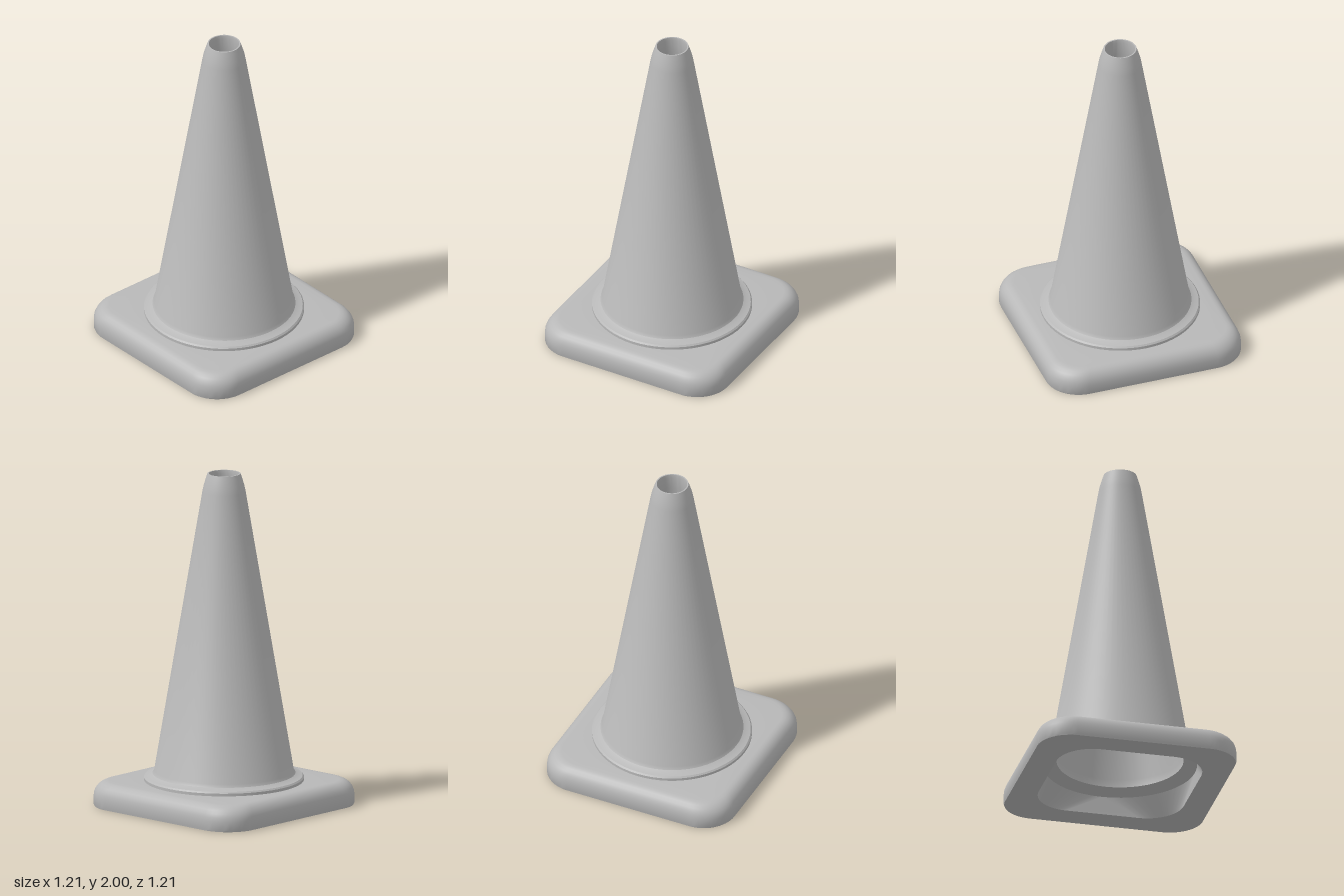
import * as THREE from 'three';
import { toCreasedNormals } from 'three/addons/utils/BufferGeometryUtils.js';

// Rounded square outline of half width h and corner radius r (r = h is a circle)
function ring(h, r, y, steps = 12) {
  const points = [];
  for (let q = 0; q < 4; q++) {
    const mid = Math.PI / 4 + q * Math.PI / 2;
    const cx = Math.sign(Math.cos(mid)) * (h - r);
    const cz = Math.sign(Math.sin(mid)) * (h - r);
    for (let i = 0; i <= steps; i++) {
      const a = (q + i / steps) * Math.PI / 2;
      points.push([cx + r * Math.cos(a), y, cz + r * Math.sin(a)]);
    }
  }
  return points;
}

// Skin a series of rings
function loft(rings) {
  const n = rings[0].length;
  const index = [];
  for (let i = 0; i < rings.length - 1; i++) {
    for (let j = 0; j < n; j++) {
      const k = (j + 1) % n;
      const a = i * n + j, b = i * n + k;
      index.push(a, a + n, b, b, a + n, b + n);
    }
  }
  const geometry = new THREE.BufferGeometry();
  geometry.setAttribute('position', new THREE.Float32BufferAttribute(rings.flat(2), 3));
  geometry.setIndex(index);
  return toCreasedNormals(geometry, 0.6);
}

export function createModel() {
  const group = new THREE.Group();
  const grey = new THREE.MeshStandardMaterial({ color: 0xb8b8b8, side: THREE.DoubleSide });
  grey.name = 'grey';

  // Square foot: hollow wall, flat underside, sides and rounded shoulder
  const rings = [ring(0.455, 0.455, 0.12), ring(0.44, 0.22, 0), ring(0.6, 0.2, 0), ring(0.603, 0.2, 0.01)];
  for (let i = 0; i <= 6; i++) {
    const a = i / 6 * Math.PI / 2;
    const inset = 0.075 * (1 - Math.cos(a));
    rings.push(ring(0.603 - inset, 0.2 - inset * 0.5, 0.06 + 0.09 * Math.sin(a)));
  }
  rings.push(ring(0.45, 0.45, 0.152));
  const base = new THREE.Mesh(loft(rings), grey);
  base.name = 'base';
  group.add(base);

  // Hollow cone: flange, fillet, wall, tapered lip, then back down inside
  const profile = [
    [0.473, 0.145], [0.473, 0.168], [0.465, 0.177], [0.44, 0.183], [0.422, 0.192], [0.412, 0.21],
    [0.128, 1.89], [0.12, 1.93], [0.103, 1.985], [0.098, 2],
    [0.09, 2], [0.088, 1.98], [0.1, 1.89], [0.38, 0.2], [0.375, 0.15], [0.455, 0.12],
  ].map(([x, y]) => new THREE.Vector2(x, y));
  const cone = new THREE.Mesh(toCreasedNormals(new THREE.LatheGeometry(profile, 64), 0.6), grey);
  cone.name = 'cone';
  group.add(cone);

  return group;
}
